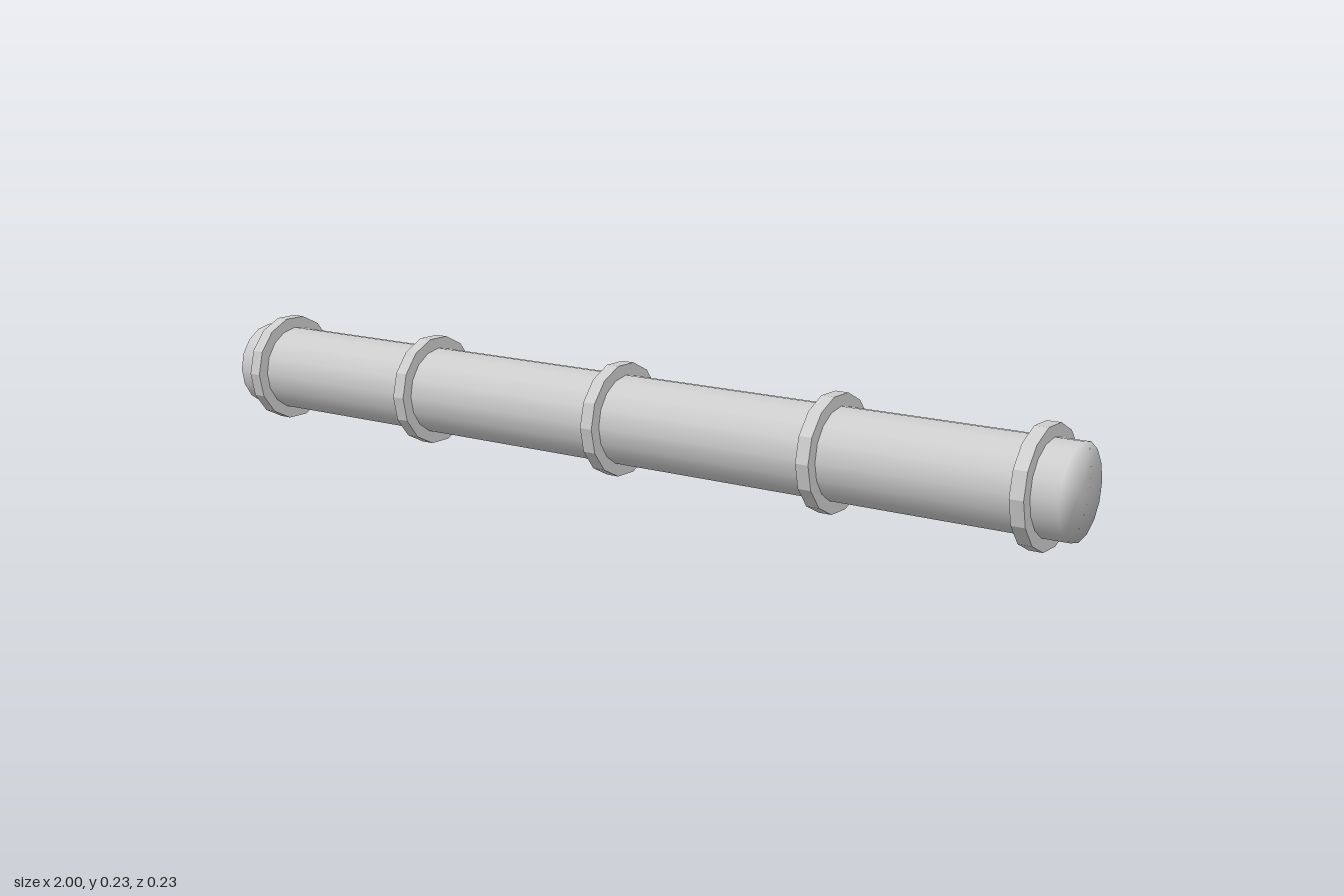
import * as THREE from 'three';

const AXIS_Y = 0.115;
const PIPE_RADIUS = 0.092;
const RING_RADIUS = 0.117;

// Closed pipe along x; the end discs share the wall's radial normals at the rim
function pipeGeometry() {
  const profile = [[0, -1], [PIPE_RADIUS, -1], [PIPE_RADIUS, 1], [0, 1]]
    .map(([r, y]) => new THREE.Vector2(r, y));
  const geometry = new THREE.LatheGeometry(profile, 16);
  const p = geometry.attributes.position;
  const n = geometry.attributes.normal;
  for (let i = 0; i < p.count; i++) {
    const r = Math.hypot(p.getX(i), p.getZ(i));
    if (r > 0.01) n.setXYZ(i, p.getX(i) / r, 0, p.getZ(i) / r);
    else n.setXYZ(i, 0, Math.sign(p.getY(i)), 0);
  }
  return geometry.rotateZ(-Math.PI / 2);
}

export function createModel() {
  const model = new THREE.Group();
  model.name = 'bandedPipe';
  const grey = new THREE.MeshStandardMaterial({ color: 0xcccccc });
  grey.name = 'light grey';

  const pipe = new THREE.Mesh(pipeGeometry(), grey);
  pipe.name = 'pipe';
  pipe.position.y = AXIS_Y;
  model.add(pipe);

  // Faceted collars, unshared vertices give hard edges
  const ringGeometry = new THREE.CylinderGeometry(RING_RADIUS, RING_RADIUS, 0.028, 14)
    .rotateZ(-Math.PI / 2)
    .toNonIndexed();
  ringGeometry.computeVertexNormals();
  [-0.932, -0.5, 0, 0.5, 0.932].forEach((x, i) => {
    const ring = new THREE.Mesh(ringGeometry, grey);
    ring.name = `collar${i + 1}`;
    ring.position.set(x, AXIS_Y, 0);
    model.add(ring);
  });

  return model;
}
